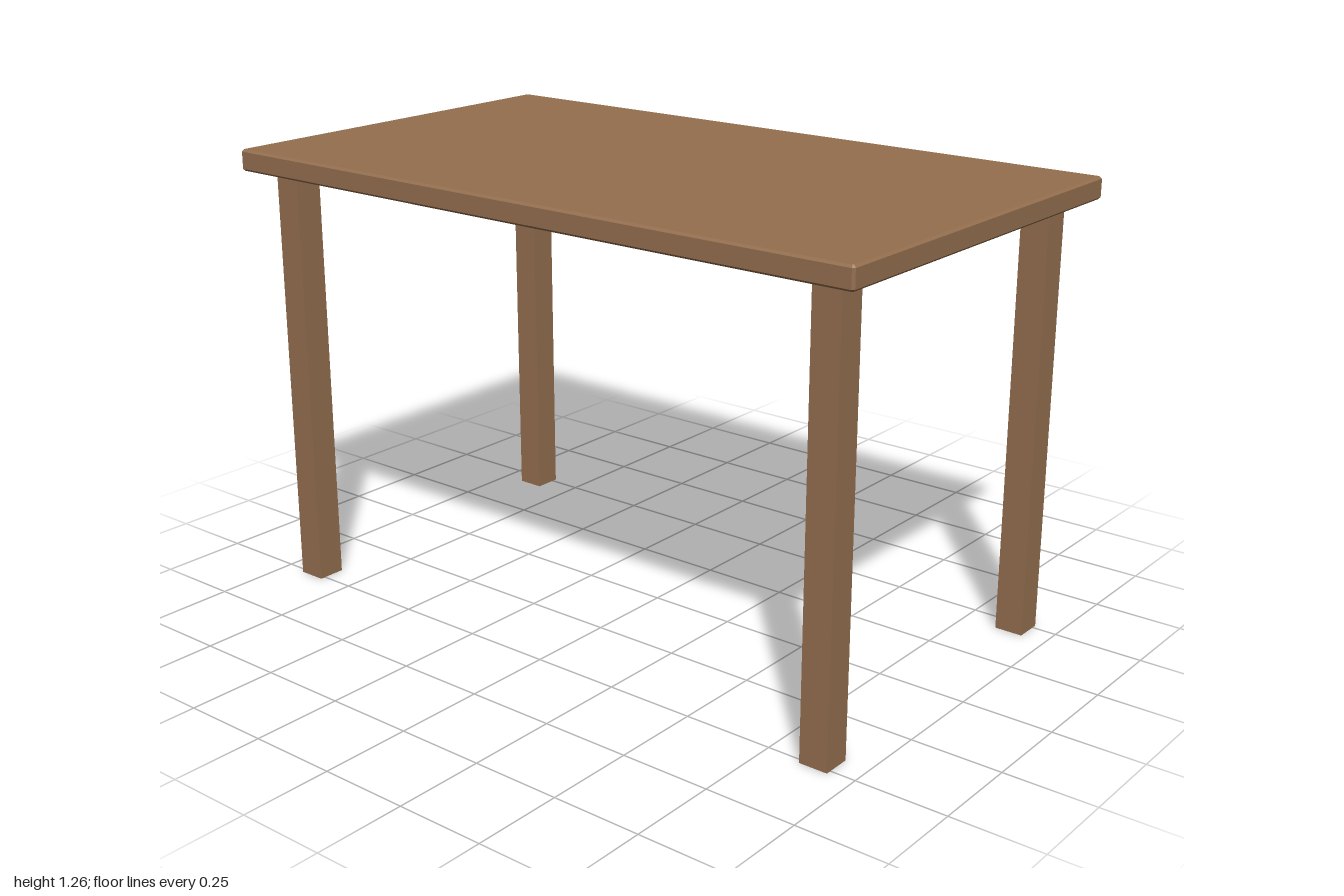
import * as THREE from 'three';

const wood = new THREE.MeshStandardMaterial({ color: 0x946f4e });
wood.name = 'wood brown';

const TOP = { halfX: 1, halfZ: 0.58, bottom: 1.205, height: 0.06, chamfer: 0.006 };
const LEG = { size: 0.08, x: 0.89, z: 0.475 };

// Slab with a narrow chamfer along every edge
function chamferedSlab(hx, hz, height, c) {
  const outline = new THREE.Shape([
    [hx, -hz + c], [hx, hz - c], [hx - c, hz], [-hx + c, hz],
    [-hx, hz - c], [-hx, -hz + c], [-hx + c, -hz], [hx - c, -hz],
  ].map(([x, y]) => new THREE.Vector2(x, y)));
  const geometry = new THREE.ExtrudeGeometry(outline, {
    depth: height - 2 * c,
    bevelEnabled: true,
    bevelThickness: c,
    bevelSize: c,
    bevelOffset: -c,
    bevelSegments: 1,
  });
  return geometry.translate(0, 0, c).rotateX(-Math.PI / 2);
}

export function createModel() {
  const table = new THREE.Group();
  table.name = 'table';

  // Tabletop
  const top = new THREE.Mesh(chamferedSlab(TOP.halfX, TOP.halfZ, TOP.height, TOP.chamfer), wood);
  top.name = 'tabletop';
  top.position.y = TOP.bottom;
  table.add(top);

  // Four square legs, set in from the corners
  const legGeometry = new THREE.BoxGeometry(LEG.size, TOP.bottom, LEG.size);
  for (const [endName, sz] of [['front', 1], ['back', -1]]) {
    for (const [sideName, sx] of [['Left', 1], ['Right', -1]]) {
      const leg = new THREE.Mesh(legGeometry, wood);
      leg.name = `${endName}${sideName}Leg`;
      leg.position.set(sx * LEG.x, TOP.bottom / 2, sz * LEG.z);
      table.add(leg);
    }
  }
  return table;
}
